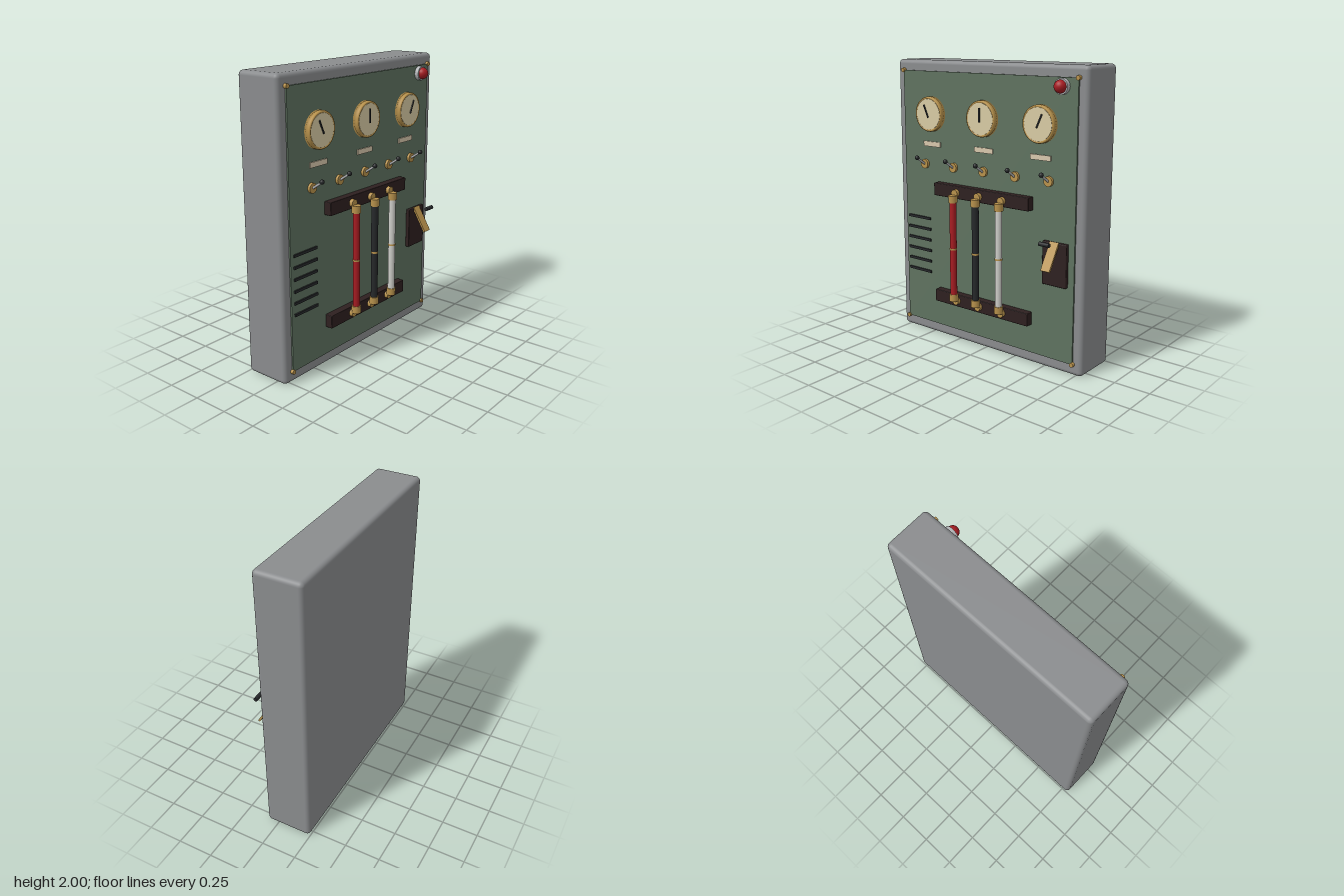
import * as THREE from 'three';
import { RoundedBoxGeometry } from 'three/addons/geometries/RoundedBoxGeometry.js';

const mat = (name, color) => {
  const m = new THREE.MeshStandardMaterial({ color });
  m.name = name;
  return m;
};

export function createModel() {
  const grey = mat('cabinet grey', 0x8a8c8e), green = mat('panel green', 0x5f7360);
  const brass = mat('brass', 0xb8924c), cream = mat('dial cream', 0xd8cba4);
  const ivory = mat('label ivory', 0xd8c8ac), black = mat('black', 0x26282a);
  const brown = mat('bakelite brown', 0x2e2020), red = mat('red', 0xa81c22);
  const white = mat('porcelain white', 0xcfcfca), steel = mat('steel', 0xb4b6b8);

  const root = new THREE.Group();
  root.name = 'switchboard';
  const FRONT = 0.096; // front plane of the panel

  const add = (parent, name, geo, m, x = 0, y = 0, z = 0) => {
    const mesh = new THREE.Mesh(geo, m);
    mesh.name = name;
    mesh.position.set(x, y, z);
    parent.add(mesh);
    return mesh;
  };
  const group = (name, x, y, z = 0) => {
    const g = new THREE.Group();
    g.name = name;
    g.position.set(x, y, z);
    root.add(g);
    return g;
  };
  const box = (w, h, d) => new THREE.BoxGeometry(w, h, d);
  const rounded = (w, h, d, r) => new RoundedBoxGeometry(w, h, d, 3, r);
  const rod = (r, len, n = 24) => new THREE.CylinderGeometry(r, r, len, n);
  // disc standing on the panel, axis along z, from z0 to z1
  const disc = (parent, name, r, z0, z1, m, x = 0, y = 0) =>
    add(parent, name, rod(r, z1 - z0, 32).rotateX(Math.PI / 2), m, x, y, (z0 + z1) / 2);

  // cabinet and front panel
  add(root, 'cabinet', rounded(1.6, 2, 0.332, 0.03), grey, 0, 1, -0.081);
  add(root, 'panel', box(1.47, 1.845, 0.02), green, 0, 1.0025, FRONT - 0.01);
  for (const x of [-0.735, 0.735]) for (const y of [0.081, 1.925])
    disc(root, 'cornerScrew', 0.015, 0.08, 0.107, brass, x, y);

  // gauges with label plates
  [[-0.467, 0.43], [0, 0], [0.467, -0.43]].forEach(([x, tilt]) => {
    const g = group('gauge', x, 1.63);
    const profile = [[0, 0], [0.122, 0], [0.122, 0.033], [0.119, 0.04], [0.114, 0.043], [0.108, 0.041], [0.106, 0.037], [0, 0.037]]
      .map(([r, h]) => new THREE.Vector2(r, h));
    add(g, 'gaugeBezel', new THREE.LatheGeometry(profile, 48).rotateX(Math.PI / 2), brass, 0, 0, FRONT);
    disc(g, 'gaugeDial', 0.107, 0.13, 0.137, cream);
    const needle = add(g, 'gaugeNeedle', box(0.01, 0.095, 0.006).translate(0, 0.035, 0), black, 0, -0.01, 0.144);
    needle.rotation.z = tilt;
    add(root, 'labelPlate', box(0.158, 0.035, 0.008), ivory, x, 1.417, FRONT + 0.004);
  });

  // toggle switches
  for (let i = -2; i <= 2; i++) {
    const g = group('toggleSwitch', i * 0.267, 1.272);
    disc(g, 'toggleBase', 0.033, FRONT, 0.115, brass);
    const lever = add(g, 'toggleLever', rod(0.008, 0.092, 12), steel, 0, 0.025, 0.147);
    lever.rotation.x = Math.atan2(0.08, 0.053);
    add(g, 'toggleKnob', new THREE.SphereGeometry(0.016, 20, 14), black, 0, 0.052, 0.186);
  }

  // mounting bars for the fuses
  for (const y of [0.325, 1.111])
    add(root, 'mountingBar', rounded(0.822, 0.09, 0.056, 0.005), brown, 0, y, 0.122);

  // tube fuses with brass caps and posts
  [[-0.2, red], [0, black], [0.2, white]].forEach(([x, m]) => {
    const g = group('fuse', x, 0.718);
    add(g, 'fuseTube', rod(0.024, 0.73), m, 0, 0, 0.189);
    add(g, 'fuseBand', rod(0.0255, 0.012), brass, 0, 0, 0.189);
    for (const s of [-1, 1]) {
      add(g, 'fuseCap', rod(0.031, 0.05), brass, 0, s * 0.355, 0.189);
      disc(g, 'fusePost', 0.026, 0.145, 0.176, brass, 0, s * 0.391);
    }
  });

  // ventilation slots
  for (let i = 0; i < 6; i++)
    add(root, 'ventSlot', box(0.215, 0.018, 0.012), black, -0.602, 0.87 - i * 0.08, FRONT + 0.005);

  // main switch: base, slanted blade and crossbar handle
  const sw = group('mainSwitch', 0.598, 0.74);
  add(sw, 'switchBase', rounded(0.186, 0.29, 0.03, 0.006), brown, 0, 0, 0.109);
  const blade = add(sw, 'switchBlade', box(0.067, 0.2, 0.014), brass, 0, 0.063, 0.168);
  blade.rotation.x = -Math.atan2(0.106, 0.175);
  add(sw, 'switchHandle', rod(0.014, 0.076, 20).rotateZ(Math.PI / 2), black, 0, 0.158, 0.233);

  // signal lamp
  const lamp = group('signalLamp', 0.625, 1.87);
  disc(lamp, 'lampCollar', 0.05, FRONT, 0.125, steel);
  add(lamp, 'lampLens', new THREE.SphereGeometry(0.041, 32, 20), red, 0, 0, 0.128);

  return root;
}
